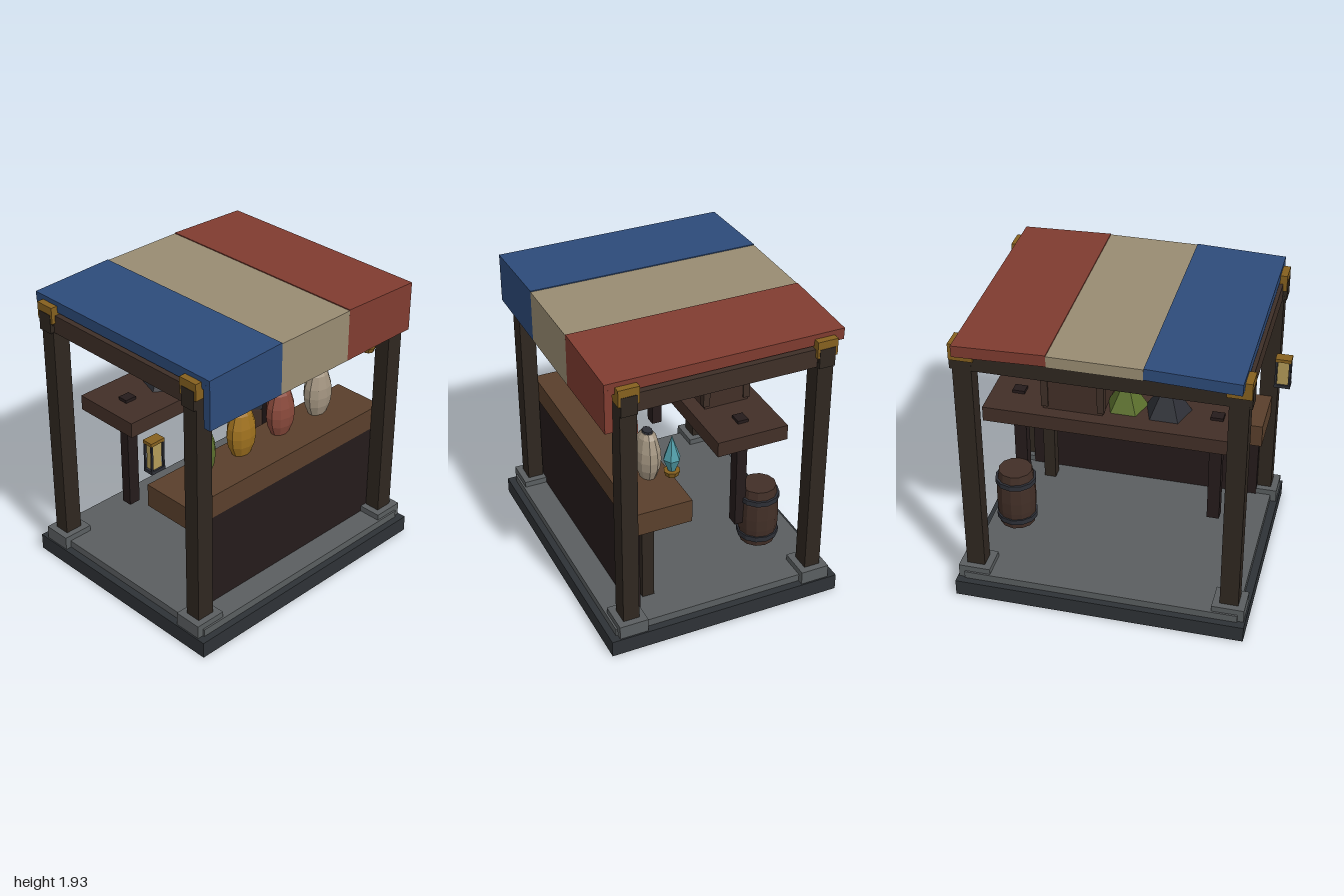
import * as THREE from 'three';

const mat = (color) => new THREE.MeshStandardMaterial({ color, flatShading: true });
const M = {
  base: mat(0x2e3236), stone: mat(0x5a5e60), post: mat(0x2f2720), beam: mat(0x3e2f27),
  panel: mat(0x251b1b), counter: mat(0x593f2b), shelf: mat(0x422f27), iron: mat(0x2d2f36),
  gold: mat(0x85601f), blue: mat(0x2d4b7a), cream: mat(0x998c72), red: mat(0x803c30),
  green: mat(0x5a6e2c), amber: mat(0xa0721f), clay: mat(0x8a4a3c), bone: mat(0xa39581),
  glass: mat(0xb39b58), crystal: mat(0x4f9ba6),
};

export function createModel() {
  const root = new THREE.Group();

  const add = (name, geometry, material, x, y, z, parent = root) => {
    const mesh = new THREE.Mesh(geometry, material);
    mesh.name = name;
    mesh.position.set(x, y, z);
    parent.add(mesh);
    return mesh;
  };
  // box given by its extents on each axis
  const box = (name, material, [x0, x1], [y0, y1], [z0, z1], parent) =>
    add(name, new THREE.BoxGeometry(x1 - x0, y1 - y0, z1 - z0), material,
      (x0 + x1) / 2, (y0 + y1) / 2, (z0 + z1) / 2, parent);
  const around = (c, half) => [c - half, c + half];
  const lathe = (points, sides) =>
    new THREE.LatheGeometry(points.map(([r, y]) => new THREE.Vector2(r, y)), sides);

  // foundation
  box('base', M.base, [-0.95, 0.95], [0, 0.11], [-0.785, 0.785]);
  box('floor', M.stone, [-0.9, 0.9], [0.11, 0.16], [-0.74, 0.74]);

  // corner posts with stone feet and brass brackets
  for (const sx of [-1, 1]) {
    for (const sz of [-1, 1]) {
      box('postFoot', M.stone, around(sx * 0.835, 0.105), [0.11, 0.2], around(sz * 0.633, 0.095));
      box('post', M.post, around(sx * 0.835, 0.06), [0.2, 1.825], around(sz * 0.633, 0.053));
      box('bracket', M.gold, around(sx * 0.835, 0.075), [1.77, 1.88], around(sz * 0.633, 0.067));
    }
    box('sideBeam', M.beam, around(sx * 0.835, 0.05), [1.7, 1.822], [-0.6, 0.6]);
  }
  for (const sz of [-1, 1]) {
    box('crossBeam', M.post, [-0.913, 0.913], [1.7, 1.828], around(sz * 0.633, 0.052));
  }

  // striped awning: sloping outer panels and a hanging front valance
  [[-1, M.blue], [0, M.cream], [1, M.red]].forEach(([side, m]) => {
    const x = side * 0.577;
    const roof = add('awningPanel', new THREE.BoxGeometry(0.577, 0.075, 1.53), m,
      x, side ? 1.883 : 1.887, 0);
    roof.rotation.z = -side * 0.033;
    box('awningValance', m, around(x, 0.2885), [1.585, 1.87], [0.715, 0.765]);
  });

  // counter
  box('counterTop', M.counter, [-0.86, 0.86], [0.8, 0.955], [0.21, 0.577]);
  box('counterFront', M.panel, [-0.8, 0.8], [0.16, 0.8], [0.53, 0.574]);
  for (const x of [-0.645, 0.645]) {
    box('counterLeg', M.post, around(x, 0.04), [0.16, 0.8], [0.385, 0.465]);
  }

  // row of jars on the counter
  const jarGeo = lathe([[0, 0], [0.067, 0], [0.098, 0.07], [0.108, 0.135], [0.103, 0.2],
    [0.075, 0.285], [0.047, 0.315], [0, 0.315]], 10);
  const lidGeo = new THREE.CylinderGeometry(0.04, 0.045, 0.02, 10);
  [M.green, M.amber, M.clay, M.bone].forEach((m, i) => {
    const jar = new THREE.Group();
    jar.name = 'jar';
    jar.position.set(-0.545 + i * 0.349, 0.955, 0.345);
    jar.scale.z = 0.75;
    add('jarBody', jarGeo, m, 0, 0, 0, jar);
    add('jarLid', lidGeo, M.iron, 0, 0.318, 0, jar);
    root.add(jar);
  });

  // back shelf on its uprights
  box('shelf', M.shelf, [-0.81, 0.81], [1.18, 1.28], [-0.45, 0.02]);
  for (const x of [-0.635, 0.635]) {
    box('shelfUpright', M.panel, around(x, 0.04), [0.52, 1.3], [-0.25, -0.18]);
  }

  // heaped goods on the shelf
  add('darkHeap', new THREE.ConeGeometry(0.152, 0.25, 5), M.iron, -0.32, 1.405, -0.215);
  add('greenHeap', new THREE.ConeGeometry(0.135, 0.22, 5), M.green, -0.06, 1.39, -0.215);

  // crate with corner battens and a diagonal brace
  box('crateBody', M.shelf, [0.06, 0.44], [1.28, 1.69], [-0.365, -0.07]);
  for (const x of [0.07, 0.427]) {
    for (const z of [-0.353, -0.08]) {
      box('crateBatten', M.beam, around(x, 0.022), [1.3, 1.68], around(z, 0.022));
    }
  }
  const brace = add('crateBrace', new THREE.BoxGeometry(0.43, 0.05, 0.03), M.panel,
    0.25, 1.49, -0.05);
  brace.rotation.z = 0.72;

  // barrel beside the upright
  const barrel = new THREE.Group();
  barrel.name = 'barrel';
  barrel.position.set(0.645, 0.36, -0.357);
  root.add(barrel);
  add('barrelBody', lathe([[0, 0], [0.115, 0], [0.128, 0.12], [0.13, 0.2], [0.126, 0.3],
    [0.11, 0.41], [0, 0.41]], 12), M.shelf, 0, 0, 0, barrel);
  for (const y of [0.06, 0.335]) {
    add('barrelHoop', new THREE.CylinderGeometry(0.134, 0.134, 0.035, 12), M.iron, 0, y, 0, barrel);
  }

  // lantern on the right side
  const lantern = new THREE.Group();
  lantern.name = 'lantern';
  lantern.position.set(-0.948, 0, 0.38);
  root.add(lantern);
  box('lanternCap', M.gold, [-0.052, 0.052], [1.378, 1.4], [-0.036, 0.036], lantern);
  box('lanternFoot', M.iron, [-0.052, 0.052], [1.185, 1.207], [-0.036, 0.036], lantern);
  box('lanternGlass', M.glass, [-0.036, 0.036], [1.207, 1.378], [-0.024, 0.024], lantern);
  for (const x of [-0.044, 0.044]) {
    for (const z of [-0.029, 0.029]) {
      box('lanternBar', M.iron, around(x, 0.006), [1.207, 1.378], around(z, 0.006), lantern);
    }
  }

  // crystal in a brass collar on the left side
  add('crystal', lathe([[0, 1.225], [0.054, 1.365], [0, 1.52]], 6), M.crystal, 0.942, 0, 0.385);
  add('crystalCollar', new THREE.CylinderGeometry(0.05, 0.04, 0.033, 8), M.gold, 0.942, 1.267, 0.385);

  return root;
}
